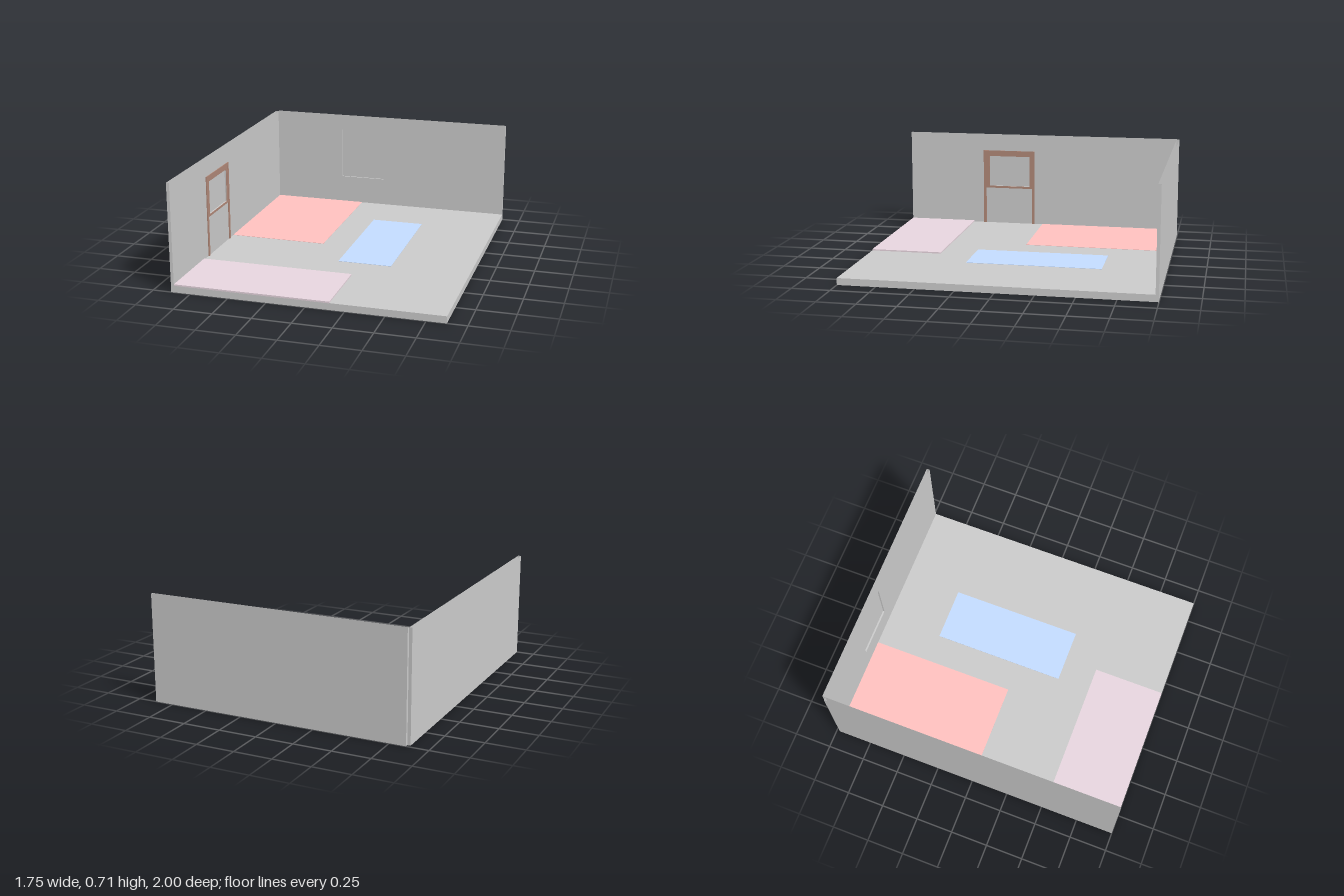
import * as THREE from 'three';

const mat = (color) => new THREE.MeshStandardMaterial({ color, side: THREE.DoubleSide });
const GREY = mat(0xcccccc), PANE = mat(0xe6e6e6), BROWN = mat(0xb08878);
const FLOOR = 0.045, TOP = 0.712, LEFT = -0.857, RIGHT = 0.875, BACK = -0.979, FRONT = 1, THICK = 0.02;

function add(parent, name, geometry, material) {
  const mesh = new THREE.Mesh(geometry, material);
  mesh.name = name;
  parent.add(mesh);
  return mesh;
}

// Flat four-cornered panel, corners counter-clockwise from its front
function quad(...corners) {
  const g = new THREE.BufferGeometry();
  g.setAttribute('position', new THREE.Float32BufferAttribute(corners.flat(), 3));
  g.setIndex([0, 1, 2, 0, 2, 3]);
  g.computeVertexNormals();
  return g;
}

function rectangle(Type, [u0, u1, v0, v1]) {
  const s = new Type();
  s.moveTo(u0, v0);
  s.lineTo(u1, v0);
  s.lineTo(u1, v1);
  s.lineTo(u0, v1);
  s.closePath();
  return s;
}

function pierced(outer, hole) {
  const shape = rectangle(THREE.Shape, outer);
  shape.holes.push(rectangle(THREE.Path, hole));
  return shape;
}

// Hollow wall, open above and below, with a recessed pane; inner face at local z = 0
function buildWall(name, u0, u1, hole, depth) {
  const wall = new THREE.Group();
  wall.name = name;
  add(wall, 'innerFace', new THREE.ShapeGeometry(pierced([u0, u1, FLOOR, TOP], hole)), GREY);
  add(wall, 'outerFace', quad([u1, 0, -THICK], [u0, 0, -THICK], [u0, TOP, -THICK], [u1, TOP, -THICK]), GREY);
  add(wall, 'startCap', quad([u0, 0, -THICK], [u0, 0, 0], [u0, TOP, 0], [u0, TOP, -THICK]), GREY);
  add(wall, 'endCap', quad([u1, 0, 0], [u1, 0, -THICK], [u1, TOP, -THICK], [u1, TOP, 0]), GREY);

  // Recess sides and pane
  const [a, b, c, d] = hole;
  const rim = [[a, c], [b, c], [b, d], [a, d]];
  rim.forEach(([x, y], i) => {
    const [x2, y2] = rim[(i + 1) % 4];
    add(wall, 'recessSide', quad([x, y, 0], [x, y, -depth], [x2, y2, -depth], [x2, y2, 0]), GREY);
  });
  add(wall, 'windowPane', quad(...rim.map(([x, y]) => [x, y, -depth])), PANE);
  return wall;
}

// Thin floor covering
function buildRug(parent, name, color, x0, x1, z0, z1, y0, y1) {
  const rug = add(parent, name, new THREE.BoxGeometry(x1 - x0, y1 - y0, z1 - z0), mat(color));
  rug.position.set((x0 + x1) / 2, (y0 + y1) / 2, (z0 + z1) / 2);
}

export function createModel() {
  const room = new THREE.Group();
  room.name = 'room';

  // Floor slab, open underneath
  const corners = [[LEFT, FRONT], [RIGHT, FRONT], [RIGHT, BACK], [LEFT, BACK]];
  add(room, 'floor', quad(...corners.map(([x, z]) => [x, FLOOR, z])), GREY);
  corners.forEach(([x, z], i) => {
    const [x2, z2] = corners[(i + 1) % 4];
    add(room, 'floorSide', quad([x, 0, z], [x2, 0, z2], [x2, FLOOR, z2], [x, FLOOR, z]), GREY);
  });

  // Back wall with window
  const backWall = buildWall('backWall', LEFT, RIGHT, [-0.35, -0.03, 0.24, 0.603], 0.011);
  backWall.position.z = BACK;
  room.add(backWall);

  // Sloping strip closing part of the gap beneath the back wall
  add(room, 'wallFootStrip', quad([0.34, 0.001, BACK], [RIGHT, 0.04, BACK],
    [RIGHT, 0.04, -0.999], [0.34, 0.001, -0.999]), GREY);

  // Side wall with the door's glazed opening; local x runs towards -z
  const sideWall = buildWall('sideWall', -FRONT, -BACK, [-0.4, -0.1, 0.325, 0.55], 0.009);
  sideWall.rotation.y = Math.PI / 2;
  sideWall.position.x = LEFT;
  room.add(sideWall);

  // Door casing: two jambs and a head in one outline, plus the glazing frame
  const casing = new THREE.Shape([
    [-0.445, FLOOR], [-0.425, FLOOR], [-0.425, 0.572], [-0.08, 0.572],
    [-0.08, FLOOR], [-0.06, FLOOR], [-0.06, 0.592], [-0.445, 0.592],
  ].map(([x, y]) => new THREE.Vector2(x, y)));
  add(sideWall, 'doorCasing', new THREE.ExtrudeGeometry(casing, { depth: 0.006, bevelEnabled: false }), BROWN);
  const sash = pierced([-0.425, -0.08, 0.31, 0.572], [-0.4, -0.1, 0.325, 0.55]);
  add(sideWall, 'doorWindowFrame', new THREE.ExtrudeGeometry(sash, { depth: 0.003, bevelEnabled: false }), BROWN);

  // Floor coverings
  buildRug(room, 'redRug', 0xffc2c0, LEFT, -0.197, BACK, 0, FLOOR, 0.047);
  buildRug(room, 'blueRug', 0xc4dcff, 0, 0.357, -0.595, 0.297, FLOOR, 0.047);
  buildRug(room, 'pinkMat', 0xe8d6df, LEFT, 0.155, 0.52, FRONT, 0.043, 0.054);

  return room;
}
